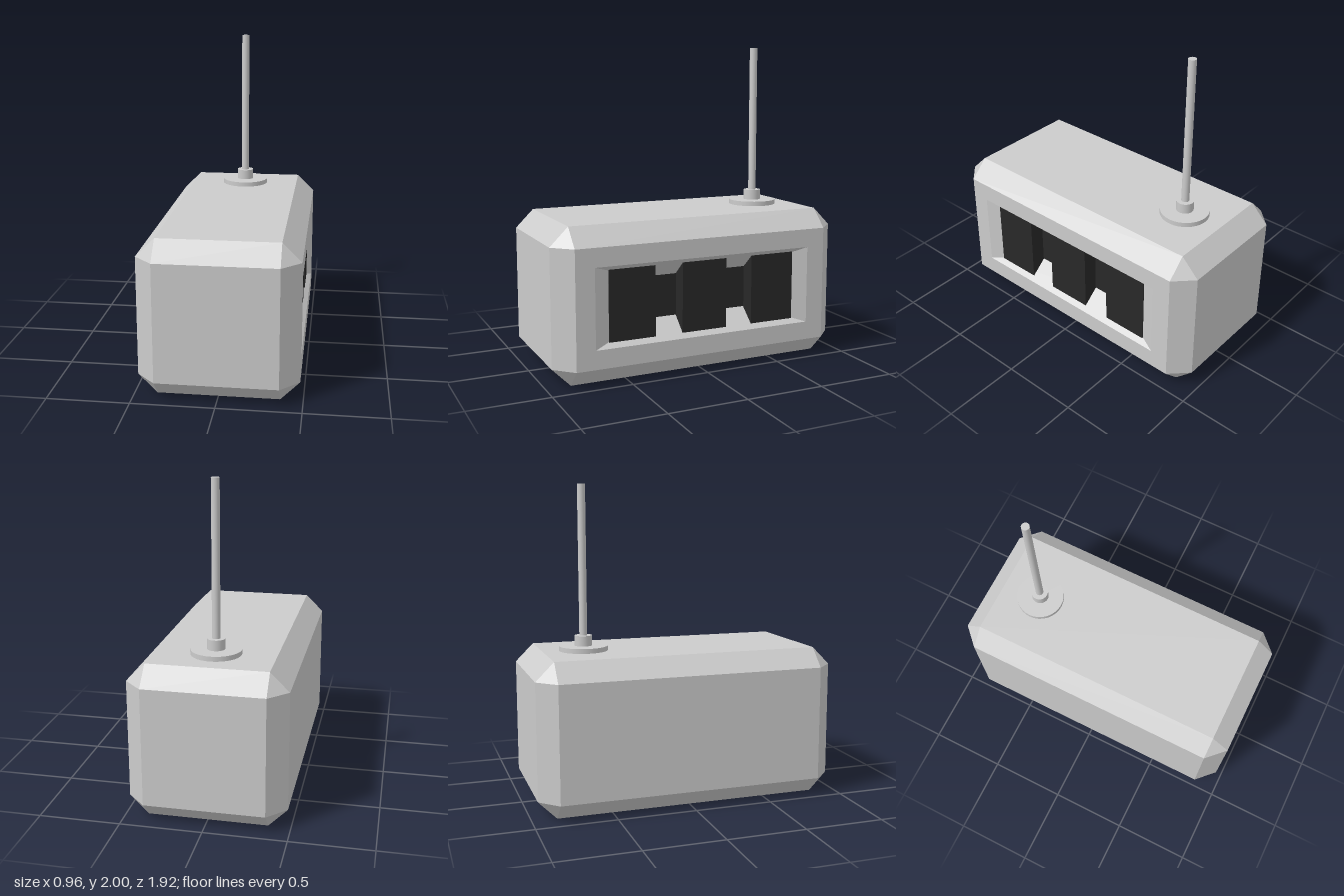
import * as THREE from 'three';

const HALF = [0.48, 0.48, 0.96]; // half sizes of the casing
const BEVEL = 0.115;
const MID_Y = HALF[1];

const grey = new THREE.MeshStandardMaterial({ color: 0xcccccc, flatShading: true });
const smoothGrey = new THREE.MeshStandardMaterial({ color: 0xcccccc });
const black = new THREE.MeshStandardMaterial({ color: 0x282828 });

// Collects flat polygons, each turned to face a given direction
function polygonBuilder() {
  const out = [];
  const n = new THREE.Vector3(), e = new THREE.Vector3();
  return {
    add(points, facing) {
      n.subVectors(points[1], points[0]).cross(e.subVectors(points[2], points[0]));
      const p = n.dot(facing) < 0 ? [...points].reverse() : points;
      for (let i = 1; i < p.length - 1; i++) {
        for (const v of [p[0], p[i], p[i + 1]]) out.push(v.x, v.y, v.z);
      }
    },
    build() {
      const g = new THREE.BufferGeometry();
      g.setAttribute('position', new THREE.Float32BufferAttribute(out, 3));
      g.computeVertexNormals();
      return g;
    },
  };
}

// Corner of the face on one axis, in the octant given by signs
function corner(axis, signs) {
  const c = signs.map((s, i) => s * (HALF[i] - (i === axis ? 0 : BEVEL)));
  return new THREE.Vector3(...c);
}

// Rectangle across the x axis, corners in order round the loop
function rectangle(x, halfY, halfZ) {
  return [[-1, -1], [1, -1], [1, 1], [-1, 1]].map(
    ([y, z]) => new THREE.Vector3(x, y * halfY, z * halfZ));
}

function casingGeometry() {
  const b = polygonBuilder();
  for (let a = 0; a < 3; a++) {
    const u = (a + 1) % 3, v = (a + 2) % 3;
    for (const s of [-1, 1]) {
      // Flat faces; the +x one is left for the window
      if (!(a === 0 && s === 1)) {
        const face = [[-1, -1], [1, -1], [1, 1], [-1, 1]].map(([p, q]) => {
          const signs = [0, 0, 0];
          signs[a] = s; signs[u] = p; signs[v] = q;
          return corner(a, signs);
        });
        b.add(face, face[0].clone().add(face[2]));
      }
      // Bevels along the edges parallel to this axis
      for (const t of [-1, 1]) {
        const lo = [0, 0, 0], hi = [0, 0, 0];
        lo[a] = -1; hi[a] = 1;
        lo[u] = hi[u] = s; lo[v] = hi[v] = t;
        const strip = [corner(u, lo), corner(u, hi), corner(v, hi), corner(v, lo)];
        b.add(strip, strip[0].clone().add(strip[2]));
      }
    }
  }
  // Triangular corners
  for (const x of [-1, 1]) for (const y of [-1, 1]) for (const z of [-1, 1]) {
    const s = [x, y, z];
    b.add([corner(0, s), corner(1, s), corner(2, s)], new THREE.Vector3(...s));
  }
  // Window frame and the sloping walls of the recess
  const outer = rectangle(HALF[0], HALF[1] - BEVEL, HALF[2] - BEVEL);
  const rim = rectangle(HALF[0], 0.2475, 0.725);
  const back = rectangle(0.34, 0.125, 0.35);
  const outward = new THREE.Vector3(1, 0, 0);
  for (let i = 0; i < 4; i++) {
    const j = (i + 1) % 4;
    b.add([outer[i], outer[j], rim[j], rim[i]], outward);
    const inward = rim[i].clone().add(rim[j]).multiplyScalar(-1).setX(0);
    b.add([rim[i], rim[j], back[j], back[i]], inward);
  }
  b.add(back, outward);
  return b.build();
}

export function createModel() {
  const model = new THREE.Group();
  const add = (name, geometry, material, x, y, z) => {
    const mesh = new THREE.Mesh(geometry, material);
    mesh.name = name;
    mesh.position.set(x, y, z);
    model.add(mesh);
  };

  add('casing', casingGeometry(), grey, 0, MID_Y, 0);

  // Dark core and three blocks inside the window
  add('windowCore', new THREE.BoxGeometry(0.04, 0.265, 0.7), black, 0.33, 0.4825, 0);
  for (const z of [-0.48, 0, 0.48]) {
    add('windowBlock', new THREE.BoxGeometry(0.14, 0.445, 0.3), black, 0.38, 0.4825, z);
  }

  // Aerial: flange, collar and rod as [name, radius, bottom, top]
  for (const [name, r, y0, y1] of [
    ['aerialFlange', 0.155, 0.96, 0.99],
    ['aerialCollar', 0.055, 0.99, 1.055],
    ['aerialRod', 0.025, 1.055, 2],
  ]) {
    add(name, new THREE.CylinderGeometry(r, r, y1 - y0, 32), smoothGrey, 0, (y0 + y1) / 2, -0.585);
  }
  return model;
}
